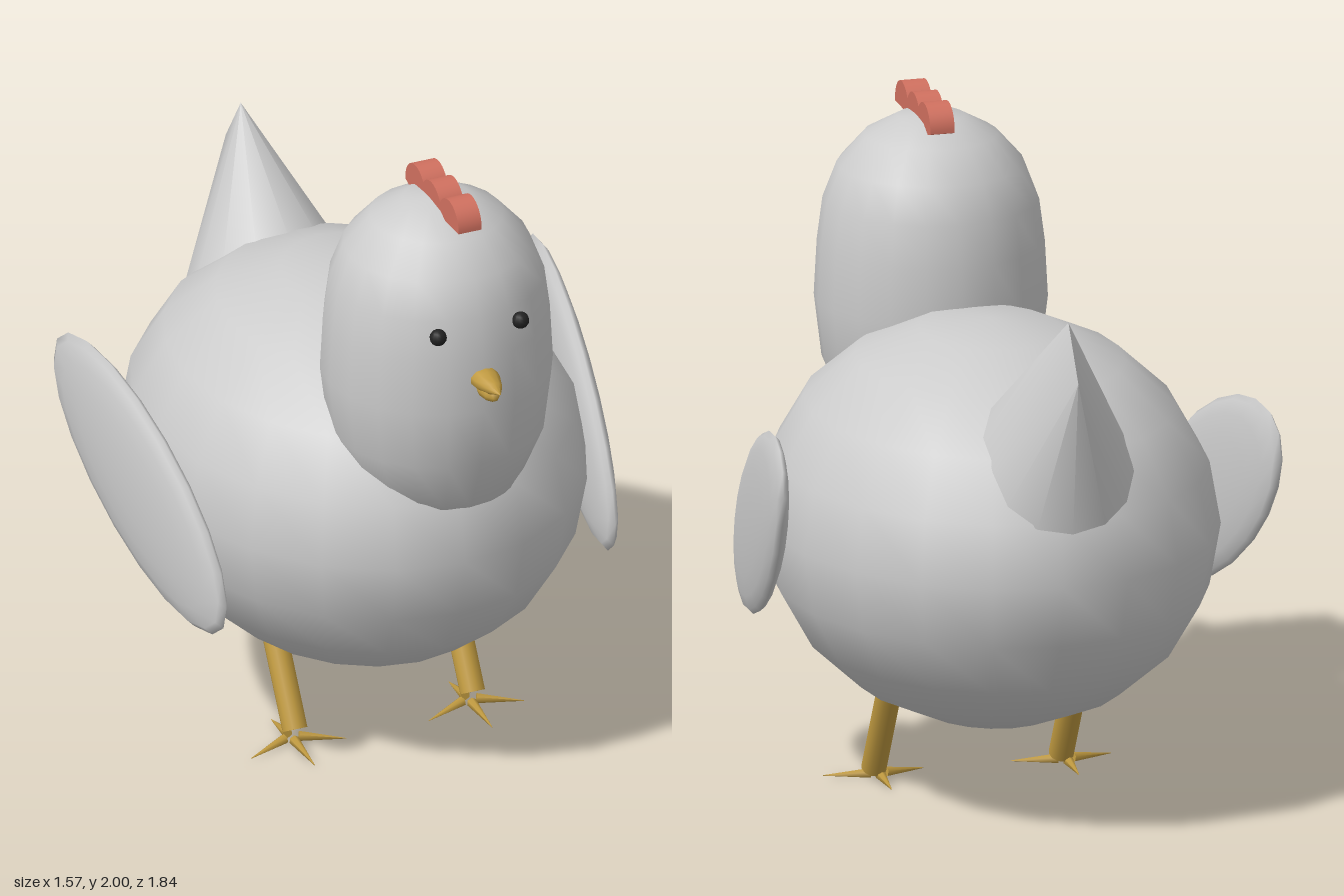
import * as THREE from 'three';
import { toCreasedNormals } from 'three/addons/utils/BufferGeometryUtils.js';
import { ConvexGeometry } from 'three/addons/geometries/ConvexGeometry.js';

const paint = (color) => new THREE.MeshStandardMaterial({ color });
const V = (x, y, z) => new THREE.Vector3(x, y, z);

export function createModel() {
  const model = new THREE.Group();
  const grey = paint(0xcccccc), gold = paint(0xc09a40), red = paint(0xd0705f), black = paint(0x222222);
  const headX = 0.03, headZ = 0.465;

  function add(name, geometry, material, parent = model) {
    const mesh = new THREE.Mesh(geometry, material);
    mesh.name = name;
    parent.add(mesh);
    return mesh;
  }
  const ellipsoid = (rx, ry, rz, w = 20, h = 10) => new THREE.SphereGeometry(1, w, h).scale(rx, ry, rz);

  // Tapered round stick between two points
  function stick(name, from, to, r0, r1, sides, parent) {
    const dir = to.clone().sub(from);
    const mesh = add(name, new THREE.CylinderGeometry(r1, r0, dir.length(), sides), gold, parent);
    mesh.position.copy(from).addScaledVector(dir, 0.5);
    mesh.quaternion.setFromUnitVectors(V(0, 1, 0), dir.normalize());
    return mesh;
  }

  // Body
  add('body', ellipsoid(0.675, 0.615, 0.815), grey).position.set(0, 0.84, -0.072);

  // Head and neck
  const profile = [[0, 0.9], [0.14, 0.93], [0.25, 1.01], [0.325, 1.19], [0.348, 1.38], [0.339, 1.55],
    [0.322, 1.68], [0.28, 1.79], [0.2, 1.88], [0.1, 1.935], [0, 1.946]];
  add('head', new THREE.LatheGeometry(profile.map((p) => new THREE.Vector2(...p)), 20), grey)
    .position.set(headX, 0, headZ);

  // Comb: three overlapping bumps, extruded across the head
  const comb = new THREE.Shape();
  const a = 0.476;
  comb.moveTo(0.66, 1.912);
  comb.absarc(0.617, 1.928, 0.072, -0.1, Math.PI - a, false);
  comb.absarc(0.49, 1.928, 0.072, a, Math.PI - a, false);
  comb.absarc(0.375, 1.928, 0.072, a, Math.PI + 0.1, false);
  comb.lineTo(0.33, 1.912);
  const combGeo = new THREE.ExtrudeGeometry(comb, { depth: 0.075, bevelEnabled: false, curveSegments: 8 });
  add('comb', toCreasedNormals(combGeo.rotateY(-Math.PI / 2), 0.7), red).position.x = 0.077;

  // Eyes
  for (const s of [-1, 1]) {
    add('eye', ellipsoid(0.026, 0.026, 0.026, 12, 8), black).position.set(headX + s * 0.134, 1.64, 0.777);
  }

  // Beak: a pointed upper half over a smaller rounded lower half
  const beak = new THREE.Group();
  beak.name = 'beak';
  model.add(beak);
  const beakShape = [[0.03, -0.05], [0.047, 0], [0.042, 0.04], [0.026, 0.09], [0, 0.135]];
  const upper = new THREE.LatheGeometry(beakShape.map((p) => new THREE.Vector2(...p)), 10);
  upper.rotateX(Math.PI / 2).scale(1, 0.75, 1);
  add('upperBeak', upper, gold, beak).position.set(0.035, 1.485, 0.785);
  add('lowerBeak', ellipsoid(0.03, 0.028, 0.065, 10, 6), gold, beak).position.set(0.035, 1.458, 0.825);

  // Tail: slanted ring in the body drawn up to a short ridge
  const tailPoints = [V(-0.035, 1.64, -0.808), V(-0.035, 1.48, -0.916)];
  for (let i = 0; i < 14; i++) {
    const t = (i / 14) * Math.PI * 2, c = Math.cos(t), s = Math.sin(t);
    tailPoints.push(V(-0.035 + 0.24 * s, 1.17 + 0.17 * c, -0.65 + 0.21 * c));
  }
  add('tail', toCreasedNormals(new ConvexGeometry(tailPoints), 0.6), grey);

  // Wings: thin tilted discs, flaring out towards the back
  for (const [side, yaw] of [[1, -0.134], [-1, 0.155]]) {
    const wing = new THREE.SphereGeometry(1, 20, 10).rotateZ(Math.PI / 2);
    wing.scale(0.05, 0.238, 0.535).rotateX(0.56).rotateY(yaw);
    add(side > 0 ? 'leftWing' : 'rightWing', wing, grey).position.set(side * 0.7, 0.872, -0.055);
  }

  // Legs, each with four thin toes
  for (const x of [-0.275, 0.303]) {
    const leg = new THREE.Group();
    leg.name = x > 0 ? 'leftLeg' : 'rightLeg';
    model.add(leg);
    stick('shin', V(x, 0.035, 0.12), V(x, 0.34, -0.06), 0.038, 0.038, 12, leg);
    for (const [dx, dz] of [[0, 0.175], [0.155, 0.06], [-0.155, 0.06], [0, -0.14]]) {
      const fx = x - 0.015;
      stick('toe', V(fx + dx * 0.15, 0.016, 0.12 + dz * 0.15), V(fx + dx, 0.004, 0.12 + dz), 0.016, 0.001, 6, leg);
    }
  }
  return model;
}
